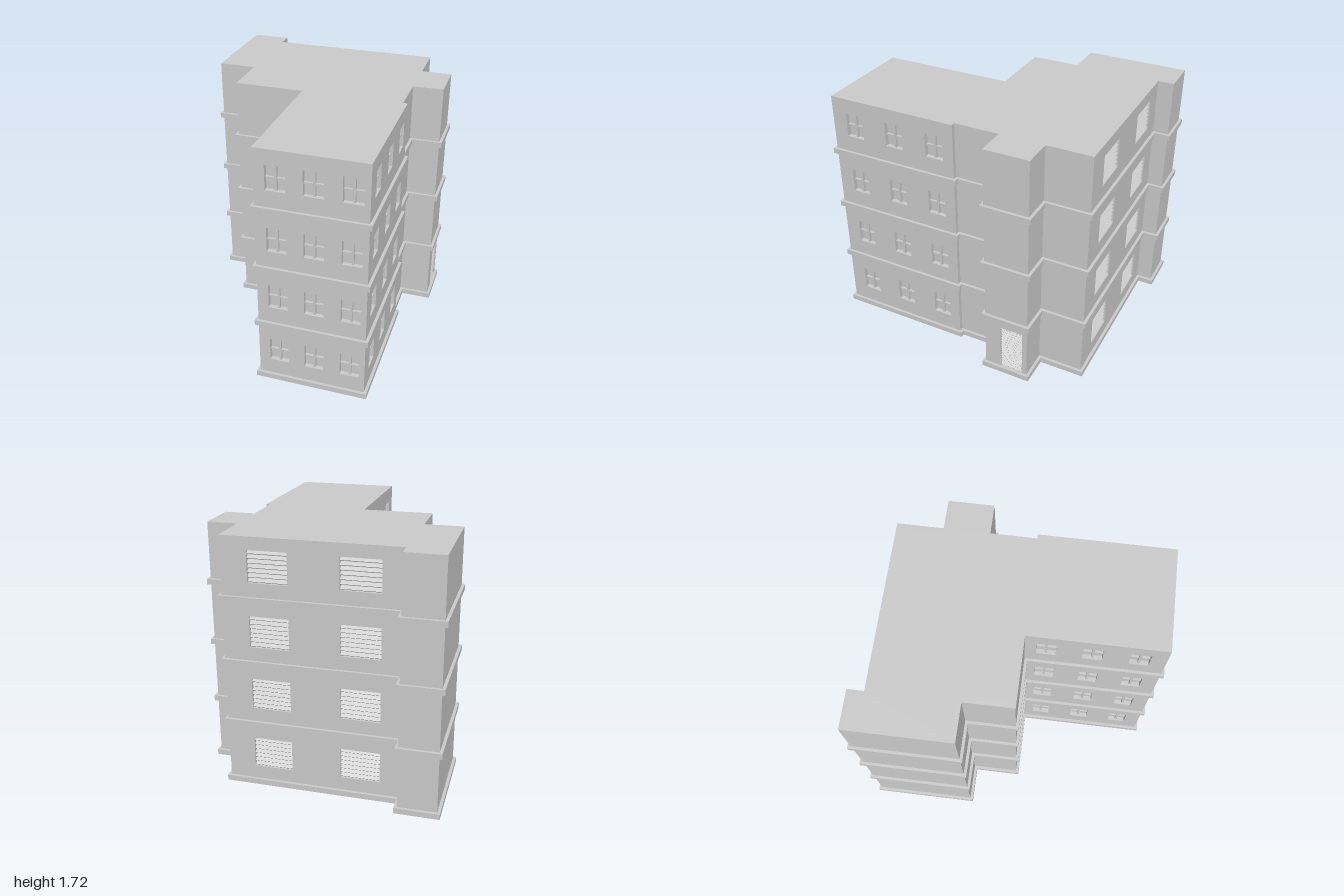
import * as THREE from 'three';

const HEIGHT = 1.715, FLOOR = 0.43, FLOORS = 4, WALL = 0.035;
const material = new THREE.MeshStandardMaterial({ color: 0xcccccc, flatShading: true });

// Wall outline as [x, z] corners, running so that the outside is on the left-hand turn
const footprint = [
  [-0.825, -0.98], [-0.565, -0.98], [-0.565, -0.87], [0.61, -0.87],
  [0.61, -0.56], [0.82, -0.56], [0.82, -0.25], [0.61, -0.25],
  [0.61, 0.06], [0.64, 0.06], [0.64, 0.98], [-0.085, 0.98],
  [-0.085, 0.062], [-0.565, 0.062], [-0.565, -0.27], [-0.825, -0.27],
];

// Outward direction of the wall that starts at corner i
function outward(i) {
  const n = footprint.length;
  const a = footprint[(i + n) % n], b = footprint[(i + 1) % n];
  return [Math.sign(b[1] - a[1]), -Math.sign(b[0] - a[0])];
}

// Horizontal slab following the footprint, grown outward by a margin
function slab(name, margin, y, height) {
  const points = footprint.map(([x, z], i) => {
    const p = outward(i - 1), q = outward(i);
    return new THREE.Vector2(x + margin * (p[0] + q[0]), -(z + margin * (p[1] + q[1])));
  });
  const geometry = new THREE.ExtrudeGeometry(new THREE.Shape(points), { depth: height, bevelEnabled: false });
  geometry.rotateX(-Math.PI / 2);
  const mesh = new THREE.Mesh(geometry, material);
  mesh.name = name;
  mesh.position.y = y;
  return mesh;
}

function box(name, w, h, d, x, y, z, tilt = 0) {
  const mesh = new THREE.Mesh(new THREE.BoxGeometry(w, h, d), material);
  mesh.name = name;
  mesh.position.set(x, y, z);
  mesh.rotation.x = tilt;
  return mesh;
}

function rectPath(x, y, w, h) {
  const path = new THREE.Path();
  path.moveTo(x - w / 2, y);
  path.lineTo(x - w / 2, y + h);
  path.lineTo(x + w / 2, y + h);
  path.lineTo(x + w / 2, y);
  path.closePath();
  return path;
}

// Recessed window with crossing bars
function paneWindow({ x, y, w, h }) {
  const g = new THREE.Group();
  g.name = 'paneWindow';
  g.add(box('glass', w, h, 0.006, x, y + h / 2, -WALL));
  g.add(box('mullion', 0.016, h, 0.018, x, y + h / 2, -0.022));
  g.add(box('transom', w, 0.01, 0.016, x, y + h * 0.48, -0.024));
  return g;
}

// Opening filled with tilted slats
function louvre({ x, y, w, h, slats }) {
  const g = new THREE.Group();
  g.name = 'louvre';
  g.add(box('backing', w, h, 0.006, x, y + h / 2, -WALL));
  const pitch = h / slats;
  for (let i = 0; i < slats; i++) {
    g.add(box('slat', w, 0.005, Math.min(0.03, pitch * 1.2), x, y + (i + 0.5) * pitch, -0.02, 0.65));
  }
  return g;
}

// Openings repeated on every floor, x measured from the wall's left end seen from outside
function perFloor(centres, base, list) {
  const result = [];
  for (let f = 0; f < FLOORS; f++) {
    for (const x of centres) result.push({ ...list, x, y: base + f * FLOOR });
  }
  return result;
}

const pane = { w: 0.13, h: 0.17, build: paneWindow };
const vent = { w: 0.262, h: 0.21, slats: 7, build: louvre };
const openings = {
  2: perFloor([0.31, 0.905], 0.13, vent), // back
  5: [{ x: 0.1975, y: 0.04, w: 0.165, h: 0.34, slats: 16, build: louvre }], // door
  9: perFloor([0.17, 0.475, 0.78], 0.152, pane), // left of wing
  10: perFloor([0.14, 0.38, 0.6225], 0.152, pane), // front of wing
  11: perFloor([0.138, 0.443, 0.748], 0.152, pane), // right of wing
};

// One wall panel with its holes and what fills them
function wall(i) {
  const a = footprint[i], b = footprint[(i + 1) % footprint.length];
  const length = Math.hypot(b[0] - a[0], b[1] - a[1]);
  const list = openings[i] || [];
  const shape = new THREE.Shape([
    new THREE.Vector2(0, 0), new THREE.Vector2(length, 0),
    new THREE.Vector2(length, HEIGHT), new THREE.Vector2(0, HEIGHT),
  ]);
  shape.holes = list.map((o) => rectPath(o.x, o.y, o.w, o.h));
  const geometry = new THREE.ExtrudeGeometry(shape, { depth: WALL, bevelEnabled: false });
  geometry.translate(0, 0, -WALL);

  const group = new THREE.Group();
  group.name = 'wall';
  const panel = new THREE.Mesh(geometry, material);
  panel.name = 'wallPanel';
  group.add(panel, ...list.map((o) => o.build(o)));
  const n = outward(i);
  group.position.set(b[0], 0, b[1]);
  group.rotation.y = Math.atan2(n[0], n[1]);
  return group;
}

export function createModel() {
  const model = new THREE.Group();
  model.name = 'building';
  footprint.forEach((_, i) => model.add(wall(i)));
  model.add(slab('roof', 0, HEIGHT - 0.02, 0.02));
  // Ledge at the foot of every floor
  for (let f = 0; f < FLOORS; f++) model.add(slab('ledge', 0.02, f * FLOOR, 0.038));
  return model;
}
